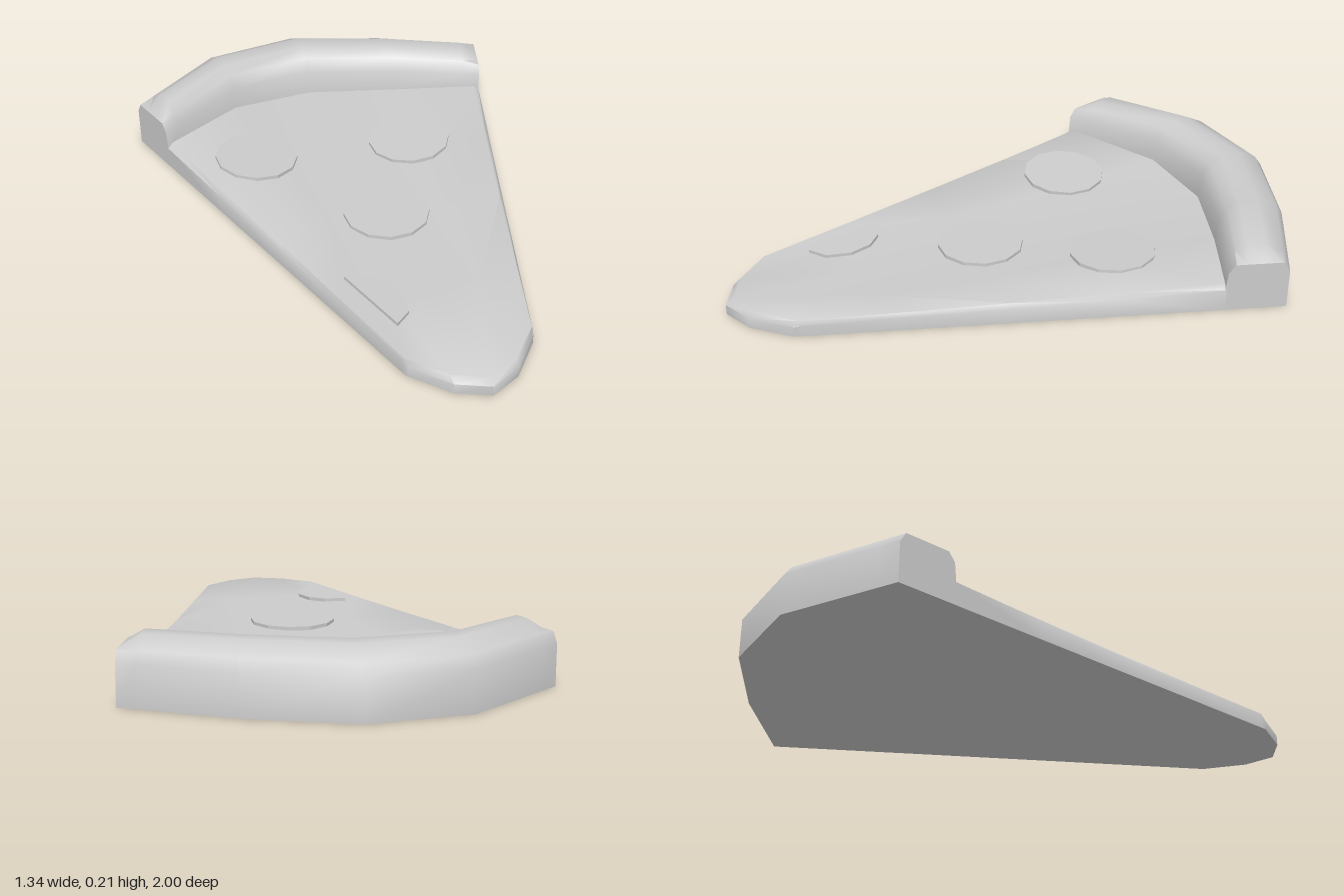
import * as THREE from 'three';
import { toCreasedNormals } from 'three/addons/utils/BufferGeometryUtils.js';

// Plan outlines [x, z], from the right side to the left side
const tip = [[-0.21, 0.83], [-0.105, 0.95], [0, 1], [0.105, 0.95], [0.21, 0.83]];
const inner = [[-0.61, -0.51], [-0.3, -0.72], [0, -0.745], [0.3, -0.64], [0.61, -0.5]];
const outer = [[-0.67, -0.71], [-0.335, -0.96], [0, -1], [0.335, -0.88], [0.67, -0.7]];

const mix = THREE.MathUtils.lerp;
const dish = (x) => 0.052 + 0.11 * x * x;

// Point on an outline at a fractional index
function along(line, s) {
  const i = Math.min(Math.floor(s), 3);
  return [0, 1].map((k) => mix(line[i][k], line[i + 1][k], s - i));
}

// Rows from tip to back: [from, to, fraction, height], no height = dished top
const rows = [
  [tip, inner, 0, 0], [tip, inner, 0, 0.036],
  ...[0.015, 0.25, 0.5, 0.75, 1].map((k) => [tip, inner, k]),
  ...[[0.03, 0.14], [0.14, 0.185], [0.32, 0.208], [0.6, 0.208], [0.9, 0.17], [1, 0.135], [1, 0]]
    .map(([k, y]) => [inner, outer, k, y]),
];

// Columns across the slice: the ends run from ground to side edge to bevel
const columns = [
  { s: 0, ground: true }, { s: 0, edge: true }, { s: 0, bevel: 1 },
  { s: 1 }, { s: 2 }, { s: 3 },
  { s: 4, bevel: -1 }, { s: 4, edge: true }, { s: 4, ground: true },
];

function bodyPoint(col, [from, to, k, height]) {
  const s = col.s + (col.bevel || 0) * (from === inner ? 0.18 : 0.06);
  const a = along(from, s), b = along(to, s);
  const x = mix(a[0], b[0], k), z = mix(a[1], b[1], k);
  let y = height ?? dish(x);
  if (col.ground) y = 0;
  else if (col.edge) y = height === undefined ? y - 0.016 : Math.min(y, 0.17);
  return new THREE.Vector3(x, y, z);
}

function bodyGeometry() {
  const grid = columns.map((c) => rows.map((r) => bodyPoint(c, r)));
  const points = [];
  const tri = (a, b, c) => {
    const area = b.clone().sub(a).cross(c.clone().sub(a)).length();
    if (area > 1e-7) points.push(a, b, c);
  };
  for (let i = 0; i < columns.length - 1; i++) {
    // The last step closes the flat underside
    for (let j = 0; j < rows.length; j++) {
      const n = (j + 1) % rows.length;
      tri(grid[i][j], grid[i + 1][j], grid[i + 1][n]);
      tri(grid[i][j], grid[i + 1][n], grid[i][n]);
    }
  }
  return toCreasedNormals(new THREE.BufferGeometry().setFromPoints(points), 0.95);
}

export function createModel() {
  const model = new THREE.Group();
  model.name = 'pizzaSlice';
  const smooth = new THREE.MeshStandardMaterial({ color: 0xcccccc });
  const flat = new THREE.MeshStandardMaterial({ color: 0xcccccc, flatShading: true });

  const add = (name, geometry, material, x = 0, y = 0, z = 0) => {
    const mesh = new THREE.Mesh(geometry, material);
    mesh.name = name;
    mesh.position.set(x, y, z);
    model.add(mesh);
    return mesh;
  };

  // Base and raised crust in one skin
  add('baseAndCrust', bodyGeometry(), smooth);

  // Whole toppings lie tilted on the dished top
  const disc = new THREE.CylinderGeometry(0.147, 0.147, 0.028, 12).rotateY(Math.PI / 12);
  for (const [x, z] of [[-0.325, -0.355], [0.235, -0.28], [0, 0.11]]) {
    add('pepperoni', disc, flat, x, dish(x), z).rotation.z = Math.atan(0.22 * x);
  }

  // Cut topping near the right edge
  const cut = new THREE.Shape([
    [-0.075, -0.14], [0, -0.12], [0.05, -0.075], [0.075, 0], [0.06, 0.085], [0.005, 0.13],
  ].map(([x, z]) => new THREE.Vector2(x, z)));
  const half = new THREE.ExtrudeGeometry(cut, { depth: 0.026, bevelEnabled: false }).rotateX(Math.PI / 2);
  add('halfPepperoni', half, flat, -0.18, dish(0.18) + 0.012, 0.54).rotation.z = -0.04;

  return model;
}
